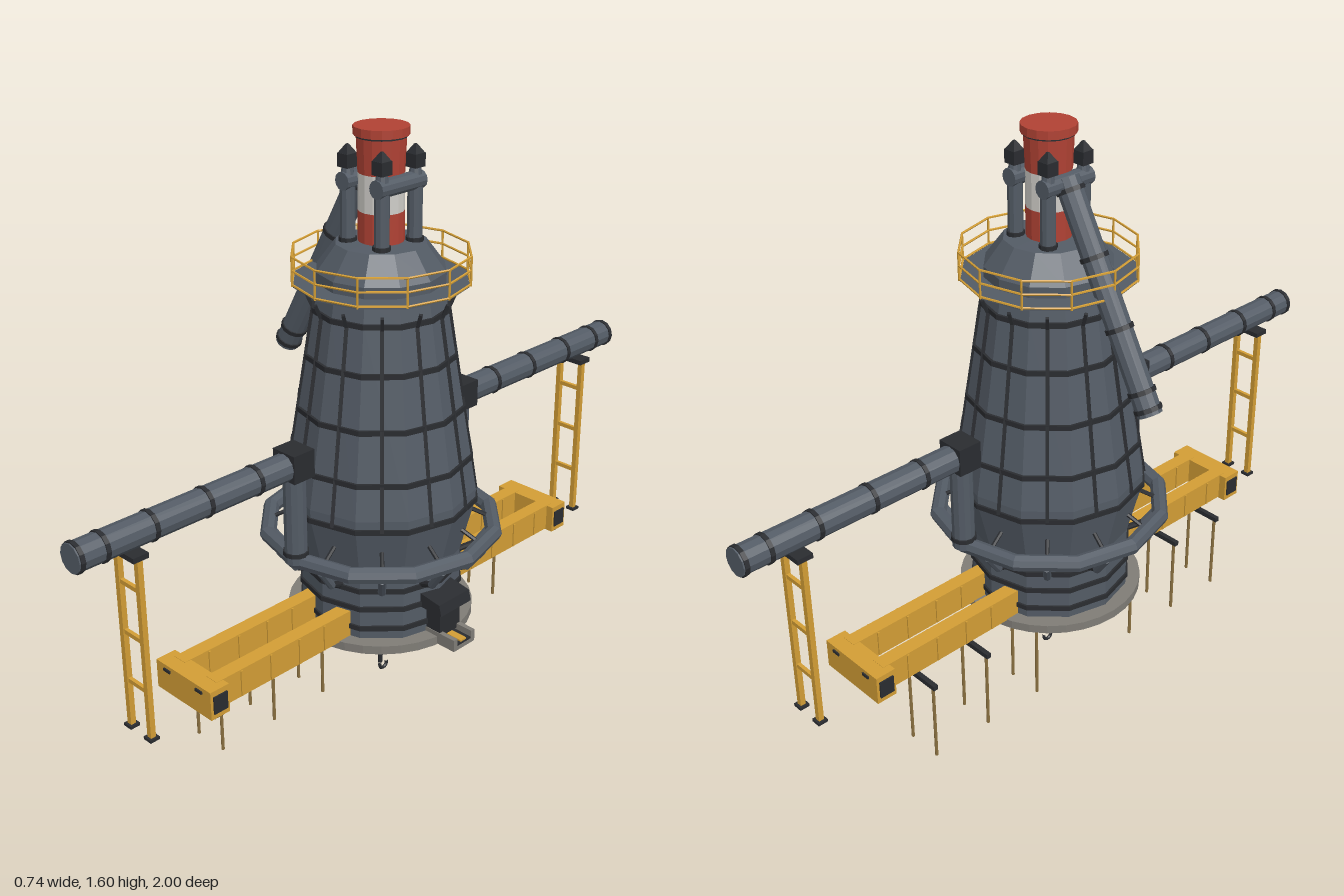
import * as THREE from 'three';

const mat = (name, color) => {
  const m = new THREE.MeshStandardMaterial({ color, flatShading: true });
  m.name = name;
  return m;
};
const V = (x, y, z) => new THREE.Vector3(x, y, z);

export function createModel() {
  const slate = mat('slate steel', 0x535b65);
  const dark = mat('dark iron', 0x2a2c30);
  const gold = mat('yellow paint', 0xd29d35);
  const red = mat('red paint', 0xb04234);
  const white = mat('off white paint', 0xcfcdc8);
  const concrete = mat('concrete', 0x7f7c76);
  const bronze = mat('rod brown', 0x8a7040);

  const model = new THREE.Group();
  model.name = 'blastFurnace';
  // everything is laid out around the furnace axis
  const root = new THREE.Group();
  root.name = 'furnacePlant';
  root.position.x = 0.03;
  model.add(root);

  const add = (name, geo, m, x = 0, y = 0, z = 0) => {
    const mesh = new THREE.Mesh(geo, m);
    mesh.name = name;
    mesh.position.set(x, y, z);
    root.add(mesh);
    return mesh;
  };
  const box = (name, m, w, h, d, x, y, z) => add(name, new THREE.BoxGeometry(w, h, d), m, x, y, z);
  const drum = (name, m, rTop, rBot, y0, y1, seg = 12, x = 0, z = 0) =>
    add(name, new THREE.CylinderGeometry(rTop, rBot, y1 - y0, seg), m, x, (y0 + y1) / 2, z);
  const pipe = (name, m, a, b, r, seg = 12) => {
    const dir = b.clone().sub(a);
    const mesh = add(name, new THREE.CylinderGeometry(r, r, dir.length(), seg), m);
    mesh.position.copy(a).add(b).multiplyScalar(0.5);
    mesh.quaternion.setFromUnitVectors(V(0, 1, 0), dir.normalize());
  };
  // collar around a pipe a-b at fraction t
  const collar = (a, b, t, r) => {
    const d = b.clone().sub(a).setLength(0.006);
    const c = a.clone().lerp(b, t);
    pipe('pipeCollar', dark, c.clone().sub(d), c.clone().add(d), r);
  };
  const polar = (r, y, deg) => {
    const t = THREE.MathUtils.degToRad(deg);
    return V(r * Math.sin(t), y, r * Math.cos(t));
  };

  // base slab and furnace shell
  drum('baseSlab', concrete, 0.26, 0.26, 0.228, 0.253, 32);
  const profile = [[0.225, 0.25], [0.225, 0.44], [0.265, 0.6], [0.265, 0.63], [0.178, 1.14],
    [0.168, 1.2], [0.172, 1.2], [0.172, 1.235], [0.12, 1.305], [0.001, 1.312]];
  add('furnaceShell', new THREE.LatheGeometry(profile.map(p => new THREE.Vector2(...p)), 12), slate);
  const shellR = y => y < 0.44 ? 0.225 : y < 0.63 ? 0.265 : 0.265 - (y - 0.63) * 0.1706;
  for (const y of [0.285, 0.345, 0.4, 0.6, 0.725, 0.865, 1.01, 1.135])
    drum('shellBand', dark, shellR(y) + 0.006, shellR(y) + 0.006, y - 0.007, y + 0.007);

  // vertical ribs with flared tips, and blow pipes from the ring main
  for (let i = 0; i < 12; i++) {
    const a = i * 30 + 15;
    pipe('shellRib', dark, polar(0.261, 0.6, a), polar(0.177, 1.13, a), 0.007, 4);
    pipe('ribTip', dark, polar(0.177, 1.125, a), polar(0.194, 1.165, a), 0.006, 4);
    pipe('blowPipe', slate, polar(0.315, 0.49, a), polar(0.265, 0.425, a), 0.011, 8);
    pipe('blowNozzle', dark, polar(0.272, 0.43, a), polar(0.215, 0.405, a), 0.009, 8);
    pipe('ringHanger', dark, polar(0.25, 0.535, a), polar(0.312, 0.505, a), 0.006, 6);
  }
  const ring = add('ringMain', new THREE.TorusGeometry(0.318, 0.023, 8, 12), slate, 0, 0.502, 0);
  ring.rotation.x = Math.PI / 2;

  // top walkway with railing
  drum('walkway', slate, 0.232, 0.232, 1.2, 1.206);
  for (let i = 0; i < 12; i++) {
    const a = i * 30;
    for (const y of [1.208, 1.245, 1.281])
      pipe('handRail', gold, polar(0.235, y, a), polar(0.235, y, a + 30), 0.0032, 5);
    pipe('railPost', gold, polar(0.235, 1.203, a), polar(0.235, 1.283, a), 0.0032, 5);
  }

  // striped top hopper
  drum('hopperLower', red, 0.06, 0.06, 1.3, 1.388, 16);
  drum('hopperMiddle', white, 0.06, 0.06, 1.388, 1.485, 16);
  drum('hopperUpper', red, 0.064, 0.06, 1.485, 1.58, 16);
  drum('hopperRim', red, 0.072, 0.072, 1.58, 1.602, 16);
  drum('hopperBand', dark, 0.067, 0.067, 1.575, 1.581, 16);

  // four gas uptakes with bleeder valves, linked in pairs
  for (const x of [-0.06, 0.06]) {
    for (const z of [-0.06, 0.06]) {
      drum('uptake', slate, 0.02, 0.02, 1.28, 1.47, 10, x, z);
      drum('uptakeCollar', dark, 0.024, 0.024, 1.305, 1.317, 10, x, z);
      drum('bleederPipe', slate, 0.014, 0.02, 1.465, 1.5, 10, x, z);
      box('bleederValve', dark, 0.036, 0.035, 0.036, x, 1.515, z);
      const cap = drum('valveCap', dark, 0.004, 0.024, 1.532, 1.555, 4, x, z);
      cap.rotation.y = Math.PI / 4;
    }
    pipe('uptakeLink', slate, V(x, 1.463, -0.08), V(x, 1.463, 0.08), 0.024);
  }

  // slanting downcomer
  const dTop = V(-0.062, 1.475, 0), dEnd = V(-0.367, 0.93, 0);
  pipe('downcomer', slate, dTop, dEnd, 0.034);
  for (const t of [0.05, 0.33, 0.63, 0.9, 0.975]) collar(dTop, dEnd, t, 0.038);

  for (const s of [-1, 1]) {
    // hot blast main, elbow and drop pipe
    const a = V(0, 0.785, s * 0.3), b = V(0, 0.785, s);
    pipe('blastMain', slate, a, b, 0.038);
    for (const z of [0.455, 0.615, 0.78, 0.92, 0.99]) collar(a, b, (z - 0.3) / 0.7, 0.041);
    box('elbowBox', dark, 0.08, 0.078, 0.07, 0, 0.788, s * 0.318);
    drum('dropPipe', slate, 0.031, 0.031, 0.5, 0.76, 12, 0, s * 0.318);
    drum('dropPipeCollar', dark, 0.035, 0.035, 0.522, 0.534, 12, 0, s * 0.318);

    // ladder-like support trestle
    for (const x of [-0.04, 0.04]) {
      box('trestlePost', gold, 0.015, 0.505, 0.015, x, 0.488, s * 0.845);
      box('trestleFoot', dark, 0.028, 0.008, 0.028, x, 0.234, s * 0.845);
    }
    for (const y of [0.37, 0.51, 0.65]) box('trestleRung', gold, 0.08, 0.012, 0.01, 0, y, s * 0.845);
    box('pipeSaddle', dark, 0.106, 0.014, 0.045, 0, 0.744, s * 0.845);

    // crane girders, stiffeners and end carriage
    for (const x of [-0.063, 0.063]) {
      box('craneGirder', gold, 0.042, 0.08, 0.47, x, 0.29, s * 0.435);
      for (const z of [0.3, 0.39, 0.49, 0.59])
        box('girderStiffener', gold, 0.05, 0.074, 0.006, x, 0.29, s * z);
      box('carriageWheel', dark, 0.035, 0.015, 0.03, x * 1.3, 0.247, s * 0.68);
      box('bufferPlate', dark, 0.025, 0.008, 0.006, x, 0.315, s * 0.711);
    }
    box('endCarriage', gold, 0.214, 0.082, 0.06, 0, 0.288, s * 0.68);
    for (const x of [-0.108, 0.108]) box('carriageEndPlate', dark, 0.006, 0.05, 0.044, x, 0.288, s * 0.68);

    // cross arms with hanging rods
    for (const z of [0.19, 0.375, 0.56]) {
      box('crossArm', dark, 0.13, 0.014, 0.014, -0.092, z < 0.2 ? 0.232 : 0.241, s * z);
      for (const x of [-0.145, -0.044])
        pipe('hangingRod', bronze, V(x, 0, s * z), V(x, 0.236, s * z), 0.0048, 6);
    }
  }

  // hoist block and hook
  for (const x of [-0.01, 0.01]) pipe('hoistCable', dark, V(x, 0.1, 0), V(x, 0.23, 0), 0.0018, 5);
  box('hookBlock', gold, 0.03, 0.034, 0.03, 0, 0.09, 0);
  for (const x of [-0.02, 0.02]) box('blockCheek', dark, 0.01, 0.036, 0.034, x, 0.09, 0);
  pipe('hookShank', dark, V(0, 0.03, 0), V(0, 0.08, 0), 0.006, 8);
  const hook = add('hook', new THREE.TorusGeometry(0.014, 0.005, 6, 12, Math.PI * 1.3), dark, 0, 0.02, -0.012);
  hook.rotation.set(0, Math.PI / 2, 0);
  hook.rotateZ(Math.PI * 0.85);
  box('hoistMotor', red, 0.05, 0.008, 0.025, -0.03, 0.226, 0.02);
  box('hoistFrame', dark, 0.09, 0.006, 0.05, 0, 0.227, 0);

  // cabin under the slab
  box('cabin', dark, 0.078, 0.072, 0.08, 0.115, 0.192, 0);

  // tap hole housing with sloping hood, and runner
  box('tapHousing', dark, 0.075, 0.095, 0.08, 0.226, 0.3, 0);
  const hood = new THREE.Shape([[0.2, 0.335], [0.285, 0.335], [0.277, 0.366], [0.2, 0.378]]
    .map(p => new THREE.Vector2(...p)));
  add('tapHood', new THREE.ExtrudeGeometry(hood, { depth: 0.12, bevelEnabled: false }), dark, 0, 0, -0.06);
  box('runnerFloor', concrete, 0.11, 0.012, 0.08, 0.262, 0.236, 0);
  for (const z of [-0.035, 0.035]) box('runnerWall', concrete, 0.11, 0.035, 0.014, 0.262, 0.248, z);
  box('runnerBed', dark, 0.108, 0.006, 0.056, 0.262, 0.244, 0);
  box('runnerStream', gold, 0.104, 0.006, 0.022, 0.262, 0.249, 0);

  return model;
}
